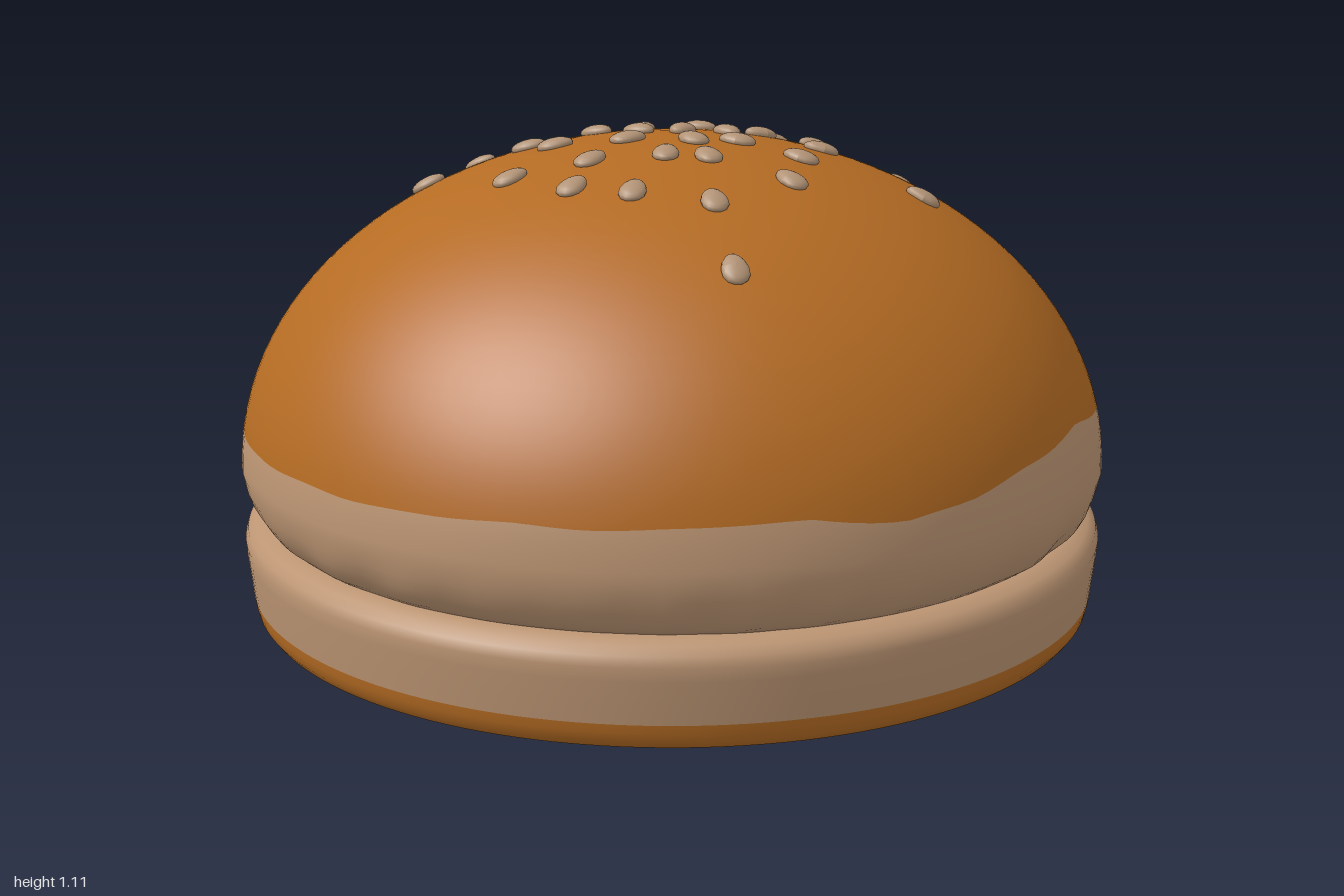
import * as THREE from 'three';

const SEG = 144, MID = 0.36, DOME = 0.735;   // dome: radius 1, centre height, height
const mat = (name, color) => Object.assign(new THREE.MeshStandardMaterial({ color }), { name });

// Wavy height of the crust edge: angle from the front towards +x (degrees), height
const EDGE = [[0, .48], [10, .483], [22, .455], [32, .47], [42, .50], [58, .528], [70, .505], [90, .47],
  [110, .45], [135, .438], [180, .43], [230, .44], [270, .45], [300, .455], [320, .462], [335, .472], [350, .474], [360, .48]];
function crustEdge(a) {
  const d = THREE.MathUtils.radToDeg(a);
  const k = EDGE.findIndex(p => p[0] > d);
  const [p, q] = [EDGE[k - 1], EDGE[k]];
  const t = (d - p[0]) / (q[0] - p[0]);
  return p[1] + (q[1] - p[1]) * t + 0.003 * Math.sin(a * 17) * Math.sin(a * 5);
}

// Closed surface from rings; each row is { m: material index, f: angle => [radius, height] }
function ringSurface(rows) {
  const pos = [], index = [], geo = new THREE.BufferGeometry();
  for (const { f } of rows)
    for (let j = 0; j < SEG; j++) {
      const a = j / SEG * Math.PI * 2, [r, y] = f(a);
      pos.push(r * Math.sin(a), y, r * Math.cos(a));
    }
  for (let i = 0; i < rows.length - 1; i++) {
    geo.addGroup(index.length, SEG * 6, rows[i].m);
    for (let j = 0; j < SEG; j++) {
      const k = (j + 1) % SEG, a = i * SEG + j, b = i * SEG + k;
      index.push(a, b, b + SEG, a, b + SEG, a + SEG);
    }
  }
  geo.setAttribute('position', new THREE.Float32BufferAttribute(pos, 3));
  geo.setIndex(index);
  geo.computeVertexNormals();
  return geo;
}

const domeRadius = y => Math.sqrt(Math.max(0, 1 - ((y - MID) / DOME) ** 2));
const ring = (m, r, y) => ({ m, f: () => [r, y] });

function topBun(materials) {
  const rows = [ring(1, 0.001, .24), ring(1, .9, .24)];
  // Rounded, slightly wrinkled lower lip
  for (const [r, y, w] of [[.935, .238, .2], [.953, .252, .8], [.968, .272, 1], [.982, .295, .7], [.993, .325, .25], [1, .36, 0]])
    rows.push({ m: 1, f: a => {
      const fold = Math.sin(a * 31 + 2 * Math.sin(a * 3)) * (0.6 + 0.4 * Math.sin(a * 7 + 1));
      return [r + 0.006 * w * fold, y];
    } });
  // Pale band up to the wavy crust edge
  for (let i = 1; i < 4; i++)
    rows.push({ m: 1, f: a => {
      const y = MID + (crustEdge(a) - MID) * i / 4;
      return [domeRadius(y), y];
    } });
  // Baked dome
  const N = 28;
  for (let i = 0; i <= N; i++)
    rows.push({ m: 0, f: a => {
      const start = Math.asin((crustEdge(a) - MID) / DOME);
      const p = start + (Math.PI / 2 - start) * i / N;
      return [Math.max(Math.cos(p), 0.0005), MID + DOME * Math.sin(p)];
    } });
  return new THREE.Mesh(ringSurface(rows), materials);
}

function bottomBun(materials) {
  const rows = [
    ring(1, .001, 0), ring(1, .93, 0), ring(0, .943, .001), ring(0, .965, .008), ring(0, .978, .025),
    ring(0, .983, .045), ring(1, .986, .064), ring(1, .991, .11), ring(1, .997, .16), ring(1, .999, .19),
    ring(1, .992, .212), ring(1, .975, .228), ring(1, .95, .237), ring(1, .93, .24), ring(1, .001, .24)];
  return new THREE.Mesh(ringSurface(rows), materials);
}

// Seed places on the dome: x, z, optional turn away from the radial direction
const SEEDS = [[-.46, -.535], [-.335, -.555], [-.13, -.59], [.08, -.625], [.365, -.6], [-.16, -.445], [.035, -.465],
  [.228, -.428], [.432, -.39], [-.425, -.337], [-.035, -.31], [.287, -.33], [.587, -.277], [-.553, -.17],
  [-.32, -.133], [-.157, -.18], [.09, -.225, 1.4], [.36, -.193], [.222, -.133], [-.265, -.036], [-.066, -.09],
  [.03, -.07], [.138, -.075, 1.4], [.35, -.032], [-.104, .027], [.04, .065], [.143, .055], [-.377, .167],
  [-.2, .172], [-.034, .183], [.057, .203], [.275, .14], [.555, .14], [-.25, .31], [-.125, .375],
  [.042, .435], [.226, .31], [.058, .648]];

function seeds(material) {
  const group = new THREE.Group();
  const geo = new THREE.SphereGeometry(1, 14, 10);
  // Narrow one end into a teardrop
  const p = geo.attributes.position;
  for (let i = 0; i < p.count; i++) p.setX(i, p.getX(i) * (1 + 0.18 * p.getZ(i)));
  geo.scale(.03, .017, .043);
  geo.computeVertexNormals();
  for (const [x, z, turn = 0] of SEEDS) {
    const r = Math.hypot(x, z), y = MID + DOME * Math.sqrt(1 - r * r);
    const up = new THREE.Vector3(x, (y - MID) / DOME ** 2, z).normalize();
    const side = new THREE.Vector3(z, 0, -x).normalize();
    const along = new THREE.Vector3().crossVectors(side, up);
    const seed = new THREE.Mesh(geo, material);
    seed.name = 'seed';
    seed.quaternion.setFromRotationMatrix(new THREE.Matrix4().makeBasis(side, up, along));
    seed.rotateY(turn);
    seed.position.set(x, y, z).addScaledVector(up, .004);
    group.add(seed);
  }
  return group;
}

export function createModel() {
  const crust = mat('bakedCrust', 0xb46b23);
  const crumb = mat('paleCrumb', 0xbc9573);
  const seedMat = mat('seedTan', 0xb29376);
  const model = new THREE.Group();
  model.name = 'seededBun';
  const parts = { topBun: topBun([crust, crumb]), bottomBun: bottomBun([crust, crumb]), seeds: seeds(seedMat) };
  for (const [name, part] of Object.entries(parts)) {
    part.name = name;
    model.add(part);
  }
  return model;
}
